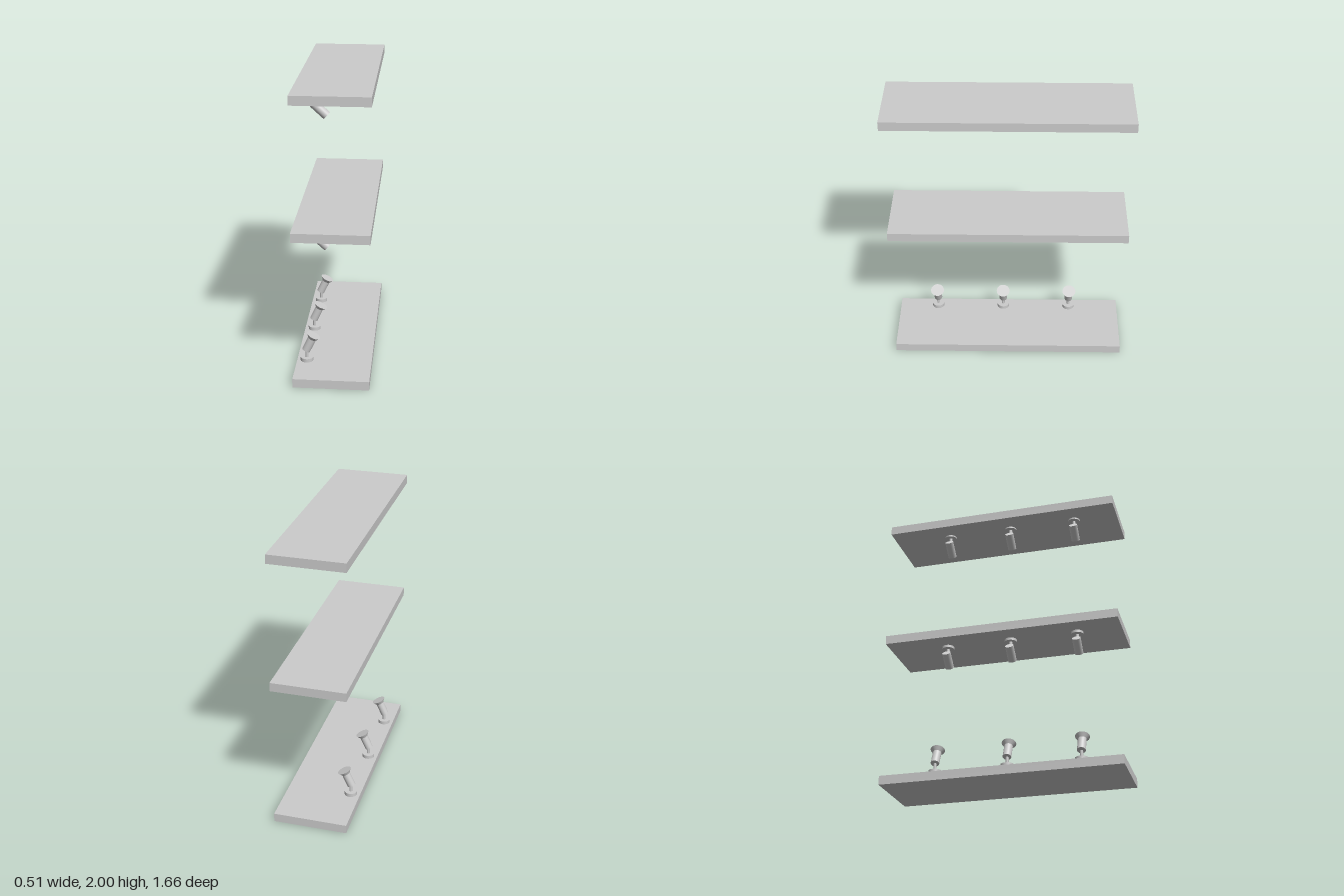
import * as THREE from 'three';

const material = new THREE.MeshStandardMaterial({ color: 0xcccccc });

function addMesh(parent, name, geometry, x, y, z) {
  const mesh = new THREE.Mesh(geometry, material);
  mesh.name = name;
  mesh.position.set(x, y, z);
  parent.add(mesh);
  return mesh;
}

// Solid of revolution whose stacked rings [radius, height] keep crisp edges
function turned(rings) {
  const points = [];
  rings.forEach(([r, h], i) => {
    points.push(new THREE.Vector2(r, h));
    if (i > 0 && i < rings.length - 1) points.push(new THREE.Vector2(r, h));
  });
  return new THREE.LatheGeometry(points, 32);
}

// Head turned about +y, moved so its axis starts at (x, y) and points along (dx, dy)
function addHead(parent, geometry, x, y, dx, dy) {
  const head = addMesh(parent, 'lampHead', geometry, x, y, 0);
  head.quaternion.setFromUnitVectors(
    new THREE.Vector3(0, 1, 0),
    new THREE.Vector3(dx, dy, 0).normalize()
  );
}

// Spotlight hanging from a shelf underside; origin at the mounting point
function hangingLamp(baseHeight) {
  const lamp = new THREE.Group();
  lamp.name = 'hangingSpotlight';
  addMesh(lamp, 'mountingDisc', new THREE.CylinderGeometry(0.043, 0.043, baseHeight, 32), 0, -baseHeight / 2, 0);
  addMesh(lamp, 'stem', new THREE.CylinderGeometry(0.012, 0.012, 0.065, 20), 0, -0.0325, 0);
  const head = turned([[0, 0], [0.03, 0], [0.03, 0.117], [0, 0.117]]);
  addHead(lamp, head, -0.04, -0.062, 0.087, -0.079);
  return lamp;
}

// Spotlight standing on the bottom shelf, with a flared rim
function standingLamp() {
  const lamp = new THREE.Group();
  lamp.name = 'standingSpotlight';
  addMesh(lamp, 'mountingDisc', new THREE.CylinderGeometry(0.044, 0.044, 0.025, 32), 0, 0.0125, 0);
  addMesh(lamp, 'stem', new THREE.CylinderGeometry(0.011, 0.011, 0.075, 20), 0, 0.0375, 0);
  const head = turned([[0, 0], [0.029, 0], [0.029, 0.098], [0.049, 0.124], [0, 0.124]]);
  addHead(lamp, head, -0.005, 0.075, 0.052, 0.112);
  return lamp;
}

export function createModel() {
  const model = new THREE.Group();
  model.name = 'illuminatedShelves';

  // Three identical boards
  const board = new THREE.BoxGeometry(0.515, 0.062, 1.66);
  [['bottomShelf', 0.031], ['middleShelf', 1.07], ['topShelf', 1.969]].forEach(([name, y]) => {
    addMesh(model, name, board, 0, y, 0);
  });

  // Rows of lamps under the upper two boards
  [[1.94, 0.012], [1.037, 0.018]].forEach(([y, baseHeight]) => {
    for (const z of [0.518, 0.042, -0.418]) {
      const lamp = hangingLamp(baseHeight);
      lamp.position.set(-0.095, y, z);
      model.add(lamp);
    }
  });

  // Row of lamps on the bottom board
  for (const z of [0.542, 0.042, -0.458]) {
    const lamp = standingLamp();
    lamp.position.set(-0.19, 0.062, z);
    model.add(lamp);
  }
  return model;
}
